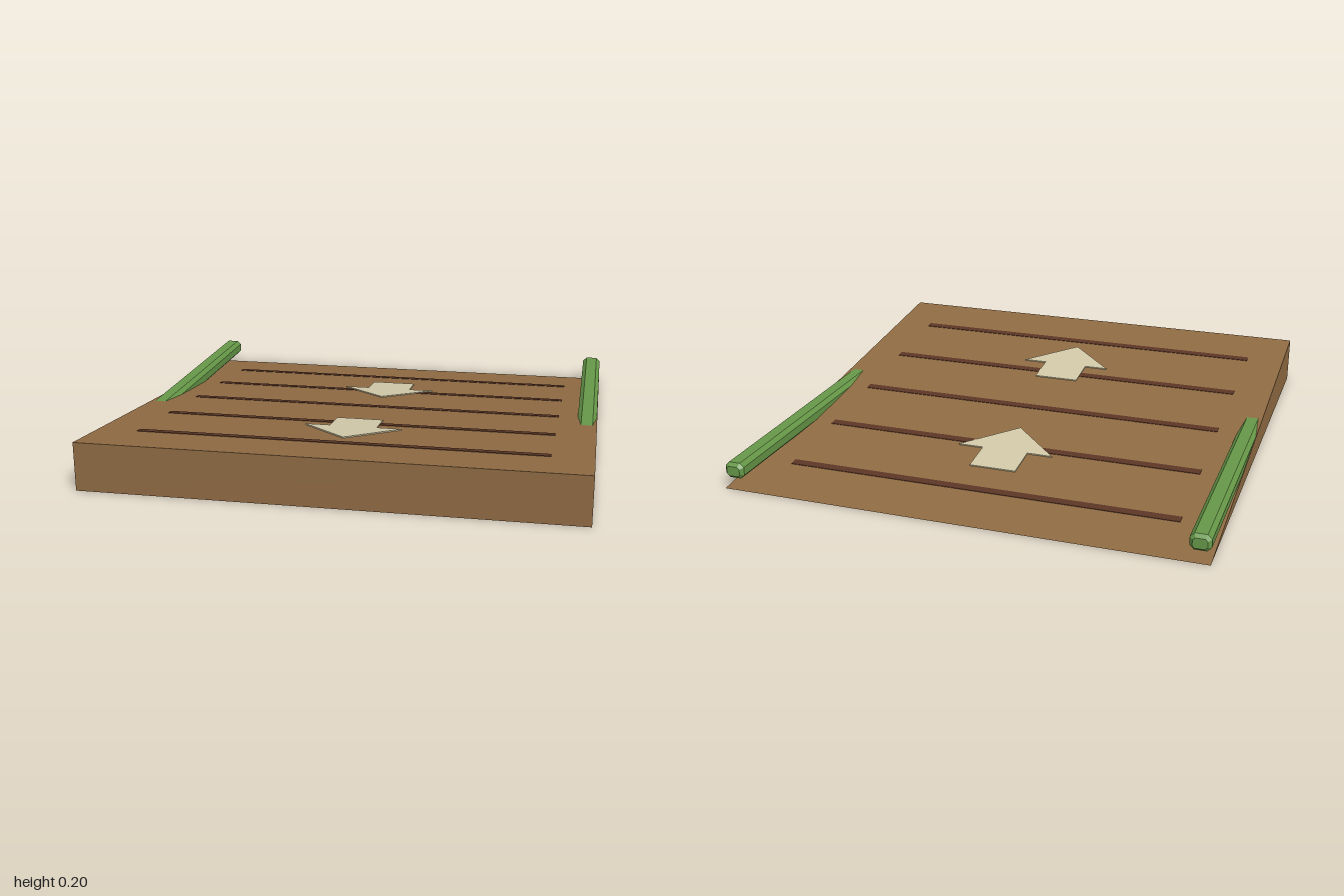
import * as THREE from 'three';

const material = (name, color) => {
  const m = new THREE.MeshStandardMaterial({ color });
  m.name = name;
  return m;
};

const polygon = (points) => new THREE.Shape(points.map(([x, y]) => new THREE.Vector2(x, y)));

function add(parent, name, geometry, mat) {
  const mesh = new THREE.Mesh(geometry, mat);
  mesh.name = name;
  parent.add(mesh);
  return mesh;
}

export function createModel() {
  const wood = material('wood', 0x8f6b43);
  const darkWood = material('darkWood', 0x5a3525);
  const cream = material('cream', 0xd2c9a8);
  const green = material('green', 0x669848);

  const model = new THREE.Group();
  model.name = 'ramp';

  // Wedge: side profile drawn as (z, y), extruded across x
  const wedge = new THREE.ExtrudeGeometry(polygon([[-1, 0], [1, 0], [1, 0.2]]), { depth: 2, bevelEnabled: false });
  wedge.translate(0, 0, -1).rotateY(-Math.PI / 2);
  add(model, 'wedge', wedge, wood);

  // Deck markings lie in the plane of the slope
  const deck = new THREE.Group();
  deck.name = 'deckMarkings';
  deck.position.y = 0.1;
  deck.rotation.x = -Math.atan(0.1);
  model.add(deck);

  // Dark strips across the deck
  for (let i = -2; i <= 2; i++) {
    add(deck, 'strip', new THREE.BoxGeometry(1.666, 0.004, 0.037), darkWood).position.z = i * 0.3685;
  }

  // Arrows pointing up the slope
  const arrow = (z, halfWidth) => {
    const shape = polygon([
      [-0.1, 0], [-0.1, -0.155], [-halfWidth, -0.155], [0, -0.36],
      [halfWidth, -0.155], [0.1, -0.155], [0.1, 0],
    ]);
    const geometry = new THREE.ExtrudeGeometry(shape, { depth: 0.005, bevelEnabled: false });
    geometry.rotateX(-Math.PI / 2);
    add(deck, 'arrow', geometry, cream).position.z = z;
  };
  arrow(-0.57, 0.21);
  arrow(0.3, 0.205);

  // Side rails: chamfered bars that sink into the slope
  const w = 0.0415, h = 0.034, c = 0.017; // half width, half height, chamfer
  const section = polygon([
    [w, c - h], [w, h - c], [w - c, h], [c - w, h],
    [-w, h - c], [-w, c - h], [c - w, -h], [w - c, -h],
  ]);
  const railGeometry = new THREE.ExtrudeGeometry(section, {
    depth: 1.2, bevelEnabled: true, bevelSegments: 1,
    bevelThickness: 0.015, bevelSize: 0.013, bevelOffset: -0.013,
  });
  for (const [side, name] of [[1, 'leftRail'], [-1, 'rightRail']]) {
    add(model, name, railGeometry, green).position.set(side * 0.957, 0.081, -0.985);
  }

  return model;
}
